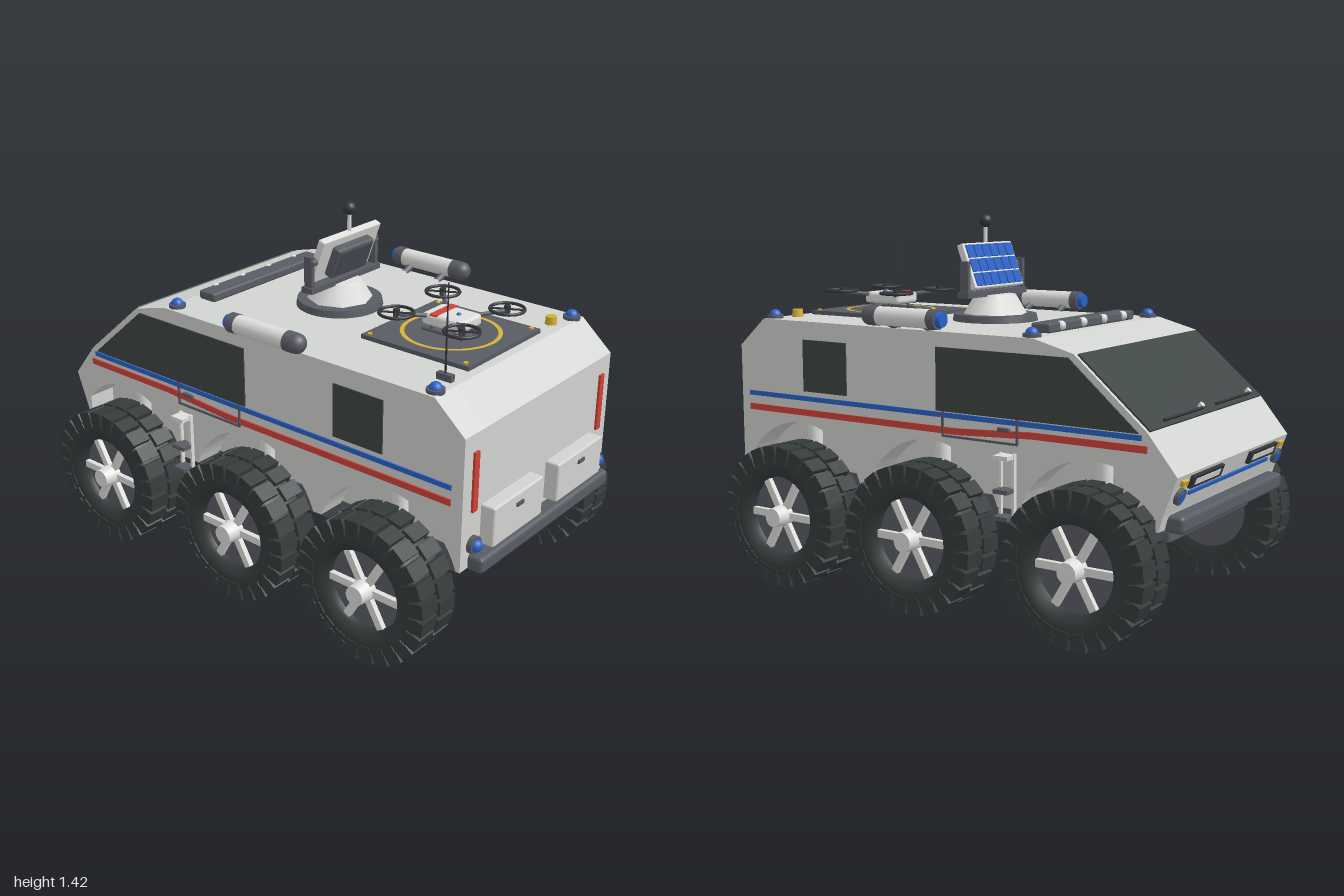
import * as THREE from 'three';
import { mergeGeometries } from 'three/addons/utils/BufferGeometryUtils.js';
import { RoundedBoxGeometry } from 'three/addons/geometries/RoundedBoxGeometry.js';

const paint = (name, color) => {
  const m = new THREE.MeshStandardMaterial({ color });
  m.name = name;
  return m;
};
const M = {
  body: paint('bodyGrey', 0xd2d4d1), metal: paint('paleMetal', 0xdededc), grey: paint('slateGrey', 0x5a5c64),
  rubber: paint('rubber', 0x353b3b), glass: paint('darkGlass', 0x3e4644), dark: paint('charcoal', 0x34363a),
  blue: paint('blue', 0x2a62c6), red: paint('red', 0xcf4239), yellow: paint('yellow', 0xd6b036), screen: paint('screen', 0x4c4f5a),
};

const add = (parent, name, geo, mat, x = 0, y = 0, z = 0) => {
  const m = new THREE.Mesh(geo, mat);
  m.name = name;
  m.position.set(x, y, z);
  parent.add(m);
  return m;
};
const group = (parent, name, x = 0, y = 0, z = 0, rx = 0) => {
  const g = new THREE.Group();
  g.name = name;
  g.position.set(x, y, z);
  g.rotation.x = rx;
  parent.add(g);
  return g;
};
const box = (w, h, d) => new THREE.BoxGeometry(w, h, d);
const rbox = (w, h, d, r) => new RoundedBoxGeometry(w, h, d, 2, r);
const cyl = (r1, r2, h, n = 20) => new THREE.CylinderGeometry(r1, r2, h, n);
const cylX = (r1, r2, h, n) => cyl(r1, r2, h, n).rotateZ(-Math.PI / 2);
const cylZ = (r1, r2, h, n) => cyl(r1, r2, h, n).rotateX(Math.PI / 2);
const rod = (a, b, r) => new THREE.TubeGeometry(new THREE.LineCurve3(new THREE.Vector3(...a), new THREE.Vector3(...b)), 1, r, 8);
const dome = (r) => new THREE.SphereGeometry(r, 20, 8, 0, Math.PI * 2, 0, Math.PI / 2);

// Side outline of (z, y) points, extruded across x and centred
const slab = (pts, width) => {
  const s = new THREE.Shape(pts.map(([z, y]) => new THREE.Vector2(z, y)));
  return new THREE.ExtrudeGeometry(s, { depth: width, bevelEnabled: false }).translate(0, 0, -width / 2).rotateY(-Math.PI / 2);
};

const WHEEL_Z = [0.625, 0, -0.68];
const UPPER = [[0.935, 0.41], [0.935, 0.905], [0.81, 1.015], [-0.44, 1.015], [-0.6, 0.973], [-0.877, 0.738], [-0.99, 0.6], [-0.94, 0.465], [-0.925, 0.41]];

function buildHull(g) {
  add(g, 'hullCore', slab(UPPER, 0.7), M.body);
  // Outer skins carry the round wheel arches
  const skin = [...UPPER];
  for (const zc of [...WHEEL_Z].reverse()) {
    for (let i = 0; i <= 20; i++) {
      const a = 2.81 - (i / 20) * 2.48;
      skin.push([Math.max(zc - 0.31 * Math.cos(Math.PI - a), -0.915), 0.31 + 0.31 * Math.sin(a)]);
    }
  }
  // Each arch runs from nose to tail
  const n = UPPER.length;
  for (let k = 0; k < 3; k++) {
    const arc = skin.slice(n + k * 21, n + k * 21 + 21).sort((a, b) => a[0] - b[0]);
    skin.splice(n + k * 21, 21, ...arc);
  }
  for (const s of [1, -1]) add(g, 'archedSide', slab(skin, 0.115), M.body, s * 0.4075);
  add(g, 'chassis', slab([[0.9, 0.42], [0.86, 0.325], [-0.74, 0.325], [-0.9, 0.42]], 0.71), M.grey);
  for (const s of [1, -1]) add(g, 'bumper', rbox(0.84, 0.06, 0.075, 0.015), M.grey, 0, 0.43, s * 0.955);
  add(g, 'frontSkidBar', rbox(0.66, 0.045, 0.06, 0.01), M.grey, 0, 0.36, -0.87);
}

function buildSide(g, s) {
  const plate = (name, pts, mat, x = 0.466) => add(g, name, slab(pts, 0.008), mat, s * x);
  plate('rearSideWindow', [[0.605, 0.745], [0.605, 0.945], [0.39, 0.945], [0.39, 0.745]], M.glass);
  plate('frontSideWindow', [[-0.03, 0.73], [-0.03, 0.96], [-0.58, 0.96], [-0.85, 0.73]], M.glass);
  plate('blueStripe', [[0.89, 0.708], [0.89, 0.726], [-0.86, 0.726], [-0.86, 0.708]], M.blue, 0.467);
  plate('redStripe', [[0.89, 0.65], [0.89, 0.674], [-0.12, 0.674], [-0.44, 0.692], [-0.88, 0.692], [-0.88, 0.668], [-0.44, 0.668], [-0.12, 0.65]], M.red, 0.467);
  // Door seam and handle
  for (const z of [-0.06, -0.378]) add(g, 'doorSeam', box(0.006, 0.09, 0.008), M.grey, s * 0.469, 0.685, z);
  add(g, 'doorSeam', box(0.006, 0.008, 0.325), M.grey, s * 0.469, 0.642, -0.219);
  add(g, 'doorHandle', rbox(0.015, 0.015, 0.05, 0.004), M.grey, s * 0.472, 0.69, -0.325);
  // Boarding steps
  for (const z of [-0.315, -0.37]) add(g, 'stepRail', box(0.015, 0.23, 0.01), M.metal, s * 0.475, 0.495, z);
  for (const y of [0.385, 0.48, 0.6]) add(g, 'stepTread', box(0.055, 0.015, 0.06), y > 0.5 ? M.metal : M.grey, s * 0.495, y, -0.3425);
  // Canister slung beside the roof
  const c = group(g, 'sideCanister', s * 0.49, 1.06, 0.09);
  add(c, 'canisterTube', cylZ(0.035, 0.035, 0.25, 24), M.metal);
  add(c, 'canisterRearCap', cylZ(0.037, 0.037, 0.04, 24), M.grey, 0, 0, 0.135);
  add(c, 'canisterRearDome', dome(0.037).rotateX(Math.PI / 2), M.grey, 0, 0, 0.155);
  add(c, 'canisterCollar', cylZ(0.037, 0.037, 0.035, 24), M.grey, 0, 0, -0.135);
  add(c, 'canisterLens', cylZ(0.03, 0.026, 0.022, 24), M.blue, 0, 0, -0.161);
  for (const z of [-0.08, 0.08]) add(c, 'canisterBracket', rod([0, -0.02, z], [-s * 0.06, -0.045, z], 0.014), M.grey);
  // Roof corner beacons
  for (const z of [-0.41, 0.785]) {
    add(g, 'beaconBase', cyl(0.032, 0.032, 0.016), M.grey, s * 0.425, 1.02, z);
    add(g, 'beaconLens', dome(0.024), M.blue, s * 0.425, 1.026, z);
  }
  // Tail fittings
  add(g, 'tailLight', box(0.027, 0.22, 0.012), M.red, s * 0.402, 0.73, 0.938);
  add(g, 'tailLampRim', cylZ(0.032, 0.032, 0.025), M.grey, s * 0.402, 0.495, 0.942);
  add(g, 'tailLamp', dome(0.024).rotateX(Math.PI / 2), M.blue, s * 0.402, 0.495, 0.952);
  add(g, 'storageBox', rbox(0.305, 0.15, 0.06, 0.008), M.body, s * 0.202, 0.55, 0.96);
  add(g, 'storageHandle', box(0.04, 0.014, 0.012), M.grey, s * 0.202, 0.585, 0.99);
}

function wheelParts() {
  const prof = [[0.155, -0.075], [0.2, -0.088], [0.24, -0.086], [0.256, -0.07], [0.256, 0.07], [0.24, 0.086], [0.2, 0.088], [0.155, 0.075], [0.15, 0.04]];
  const tyre = new THREE.LatheGeometry(prof.map((p) => new THREE.Vector2(...p)), 48).rotateZ(-Math.PI / 2);
  const lugs = [], spokes = [];
  for (let i = 0; i < 24; i++) for (const s of [1, -1]) {
    const a = ((i + (s > 0 ? 0.5 : 0)) / 24) * Math.PI * 2;
    lugs.push(box(0.085, 0.04, 0.056).translate(s * 0.049, 0.253, 0).rotateX(a));
    lugs.push(box(0.02, 0.045, 0.045).translate(s * 0.081, 0.232, 0).rotateX(a));
  }
  for (let i = 0; i < 6; i++) spokes.push(box(0.02, 0.12, 0.028).translate(0.055, 0.09, 0).rotateX((i + 0.5) * Math.PI / 3));
  return { tyre, lugs: mergeGeometries(lugs), spokes: mergeGeometries(spokes) };
}

function buildWheels(g) {
  const p = wheelParts();
  for (const s of [1, -1]) for (const z of WHEEL_Z) {
    const w = group(g, 'wheel', s * 0.523, 0.275, z);
    if (s < 0) w.rotation.y = Math.PI;
    add(w, 'tyre', p.tyre, M.rubber);
    add(w, 'treadLugs', p.lugs, M.rubber);
    add(w, 'rim', cylX(0.157, 0.157, 0.12, 40), M.grey, -0.015);
    add(w, 'spokes', p.spokes, M.metal);
    add(w, 'hub', cylX(0.036, 0.045, 0.08), M.metal, 0.075);
    // Suspension between chassis and wheel
    add(g, 'axle', cylX(0.03, 0.03, 0.12), M.metal, s * 0.41, 0.275, z);
    for (const d of [-0.06, 0.06]) add(g, 'suspensionArm', rod([s * 0.33, 0.4, z + d], [s * 0.42, 0.25, z + d * 0.4], 0.018), M.metal);
    add(g, 'shockAbsorber', cyl(0.028, 0.028, 0.2), M.metal, s * 0.385, 0.51, z);
    add(g, 'hubCarrier', box(0.025, 0.13, 0.06), M.grey, s * 0.42, 0.29, z);
  }
}

function buildNose(g) {
  const ws = group(g, 'windshield', 0, 0.8555, -0.7385, 0.867);
  add(ws, 'windshieldGlass', box(0.9, 0.36, 0.009), M.glass, 0, -0.005, -0.002);
  for (const x of [-0.37, 0.035]) {
    add(ws, 'wiperPivot', cylZ(0.011, 0.011, 0.02, 12), M.metal, x, -0.155, -0.012);
    add(ws, 'wiperArm', box(0.3, 0.008, 0.01), M.dark, x + 0.15, -0.165, -0.014);
  }
  const f = group(g, 'noseFace', 0, 0.5325, -0.965, -0.355);
  add(f, 'blueNoseStrip', box(0.66, 0.014, 0.008), M.blue, 0, -0.008, -0.003);
  for (const s of [1, -1]) {
    add(f, 'headlightFrame', box(0.24, 0.045, 0.016), M.dark, s * 0.235, 0.038, -0.004);
    add(f, 'headlightLens', box(0.19, 0.022, 0.008), M.metal, s * 0.235, 0.038, -0.01);
    add(f, 'markerLight', box(0.04, 0.02, 0.014), M.yellow, s * 0.405, 0.045, -0.005);
    add(f, 'noseLampRim', cylZ(0.03, 0.03, 0.02), M.grey, s * 0.405, -0.005, -0.005);
    add(f, 'noseLamp', cylZ(0.021, 0.021, 0.01), M.blue, s * 0.405, -0.005, -0.013);
  }
}

function buildTurret(g) {
  const t = group(g, 'sensorTurret', 0, 1.015, 0.03);
  add(t, 'turretRing', cyl(0.16, 0.165, 0.026, 40), M.grey, 0, 0.013);
  add(t, 'turretCone', cyl(0.08, 0.125, 0.075, 8), M.metal, 0, 0.063);
  add(t, 'yokeBar', box(0.4, 0.022, 0.05), M.grey, 0, 0.106, 0.01);
  for (const s of [1, -1]) add(t, 'yokePost', box(0.018, 0.135, 0.035), M.grey, s * 0.185, 0.165, 0.01);
  // Tilted panel with solar cells on its forward face
  const p = group(t, 'tiltingPanel', 0, 0.21, 0.02, 0.36);
  add(p, 'panelSlab', rbox(0.33, 0.18, 0.03, 0.006), M.metal);
  add(p, 'panelBack', rbox(0.205, 0.125, 0.05, 0.01), M.grey, 0, -0.005, 0.025);
  add(p, 'panelScreen', box(0.18, 0.1, 0.006), M.screen, 0, -0.005, 0.05);
  for (const s of [1, -1]) add(p, 'panelPivot', cylX(0.014, 0.014, 0.03, 12), M.grey, s * 0.175);
  for (let i = 0; i < 6; i++) for (let j = 0; j < 3; j++) add(p, 'solarCell', box(0.046, 0.05, 0.006), M.blue, (i - 2.5) * 0.052, (j - 1) * 0.056, -0.016);
  add(t, 'mast', cyl(0.008, 0.008, 0.09, 12), M.metal, 0, 0.32, 0.045);
  add(t, 'mastBall', new THREE.SphereGeometry(0.025, 20, 14), M.dark, 0, 0.38, 0.045);
}

function buildDrone(g) {
  const p = group(g, 'landingPad', 0, 1.015, 0.545);
  add(p, 'padPlate', box(0.45, 0.016, 0.46), M.grey, 0, 0.008);
  add(p, 'padRing', new THREE.RingGeometry(0.167, 0.183, 48).rotateX(-Math.PI / 2), M.yellow, 0, 0.018);
  const d = group(p, 'drone', 0, 0.065, 0);
  add(d, 'droneBody', rbox(0.13, 0.045, 0.175, 0.014), M.metal);
  add(d, 'droneBand', box(0.134, 0.006, 0.03), M.red, 0, 0.022, -0.035);
  add(d, 'droneLamp', dome(0.009), M.blue, 0, 0.021, 0.03);
  for (const sx of [1, -1]) {
    add(d, 'droneSkid', rod([sx * 0.05, -0.042, -0.09], [sx * 0.05, -0.042, 0.09], 0.007), M.grey);
    for (const sz of [1, -1]) {
      add(p, 'padCornerMark', cyl(0.009, 0.009, 0.006, 12), M.yellow, sx * 0.205, 0.018, sz * 0.205);
      add(d, 'droneLeg', rod([sx * 0.05, -0.042, sz * 0.05], [sx * 0.045, -0.01, sz * 0.05], 0.006), M.grey);
      add(d, 'droneArm', rod([sx * 0.04, 0.01, sz * 0.05], [sx * 0.14, 0.025, sz * 0.14], 0.008), M.grey);
      const r = group(d, 'rotor', sx * 0.14, 0.03, sz * 0.14);
      add(r, 'rotorGuard', new THREE.TorusGeometry(0.062, 0.006, 8, 28).rotateX(Math.PI / 2), M.dark);
      add(r, 'rotorHub', cyl(0.012, 0.012, 0.025, 12), M.dark);
      for (const a of [0.5, 2.07]) add(r, 'rotorBlade', box(0.12, 0.004, 0.01), M.dark).rotation.y = a;
    }
  }
}

function buildRoof(g) {
  add(g, 'lightBar', rbox(0.62, 0.035, 0.08, 0.008), M.grey, 0, 1.033, -0.37);
  for (const x of [-0.225, -0.075, 0.075, 0.225]) add(g, 'lightBarLamp', new THREE.SphereGeometry(0.018, 14, 10), M.metal, x, 1.037, -0.405);
  add(g, 'antennaBase', box(0.022, 0.025, 0.06), M.grey, -0.33, 1.027, 0.755);
  add(g, 'antenna', cyl(0.002, 0.004, 0.32, 8), M.dark, -0.33, 1.195, 0.755);
  add(g, 'roofBeacon', cyl(0.02, 0.023, 0.03), M.yellow, 0.33, 1.03, 0.755);
}

export function createModel() {
  const g = new THREE.Group();
  g.name = 'sixWheelRover';
  buildHull(g);
  for (const s of [1, -1]) buildSide(g, s);
  buildWheels(g);
  buildNose(g);
  buildTurret(g);
  buildDrone(g);
  buildRoof(g);
  return g;
}
